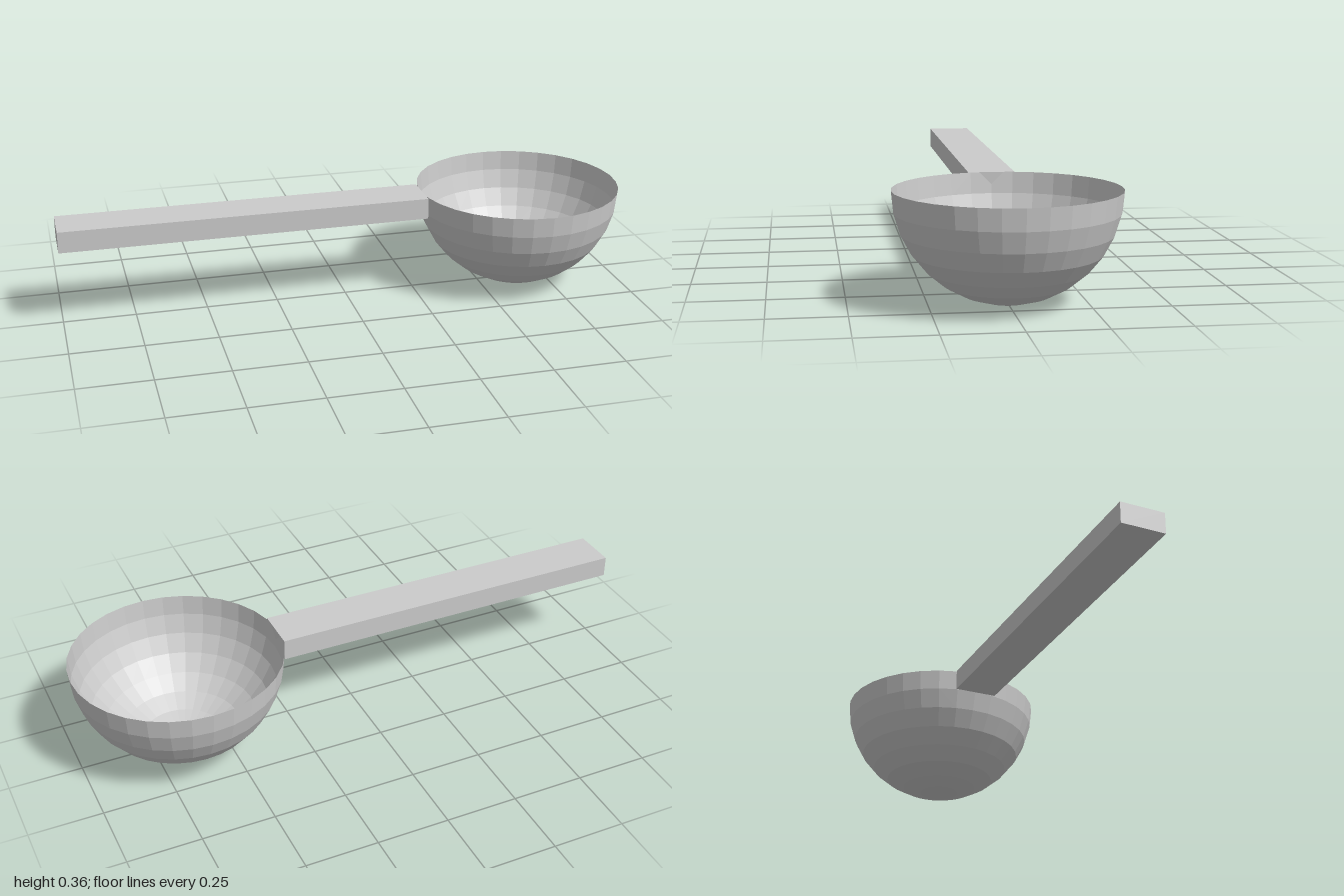
import * as THREE from 'three';

const RADIUS = 0.361;

export function createModel() {
  const group = new THREE.Group();
  const material = new THREE.MeshStandardMaterial({
    color: 0xcccccc, flatShading: true, side: THREE.DoubleSide,
  });

  // Thin open half-sphere bowl, rim level with the handle top
  const bowl = new THREE.Mesh(
    new THREE.SphereGeometry(RADIUS, 32, 8, 0, Math.PI * 2, Math.PI / 2, Math.PI / 2),
    material,
  );
  bowl.name = 'bowl';
  bowl.position.set(1 - RADIUS, RADIUS, 0);
  group.add(bowl);

  // Straight flat bar from the far end to the bowl's rim
  const start = -1, end = 0.282, thickness = 0.074;
  const handle = new THREE.Mesh(
    new THREE.BoxGeometry(end - start, thickness, 0.155),
    material,
  );
  handle.name = 'handle';
  handle.position.set((start + end) / 2, RADIUS - thickness / 2, 0);
  group.add(handle);

  return group;
}
